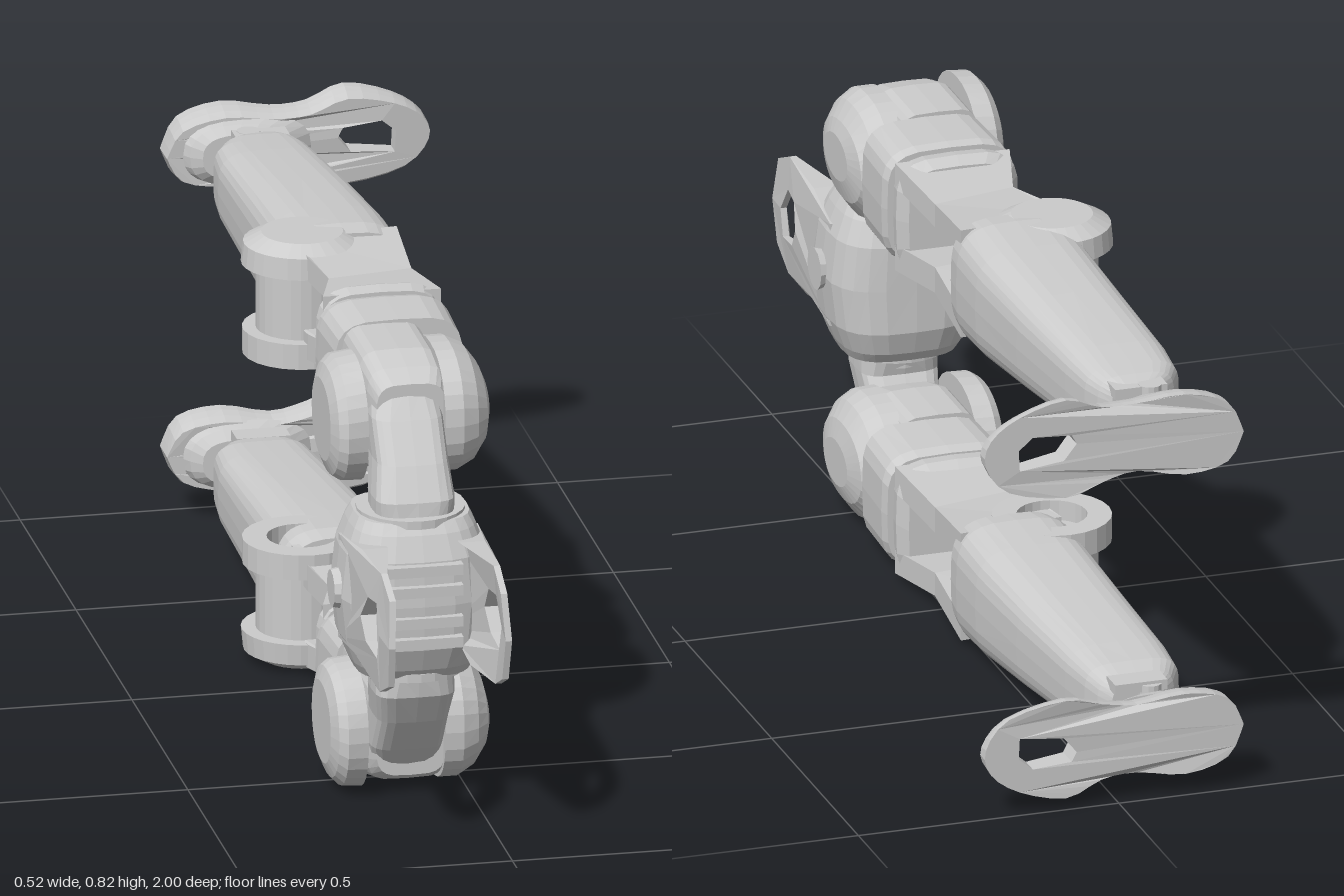
import * as THREE from 'three';

const mat = new THREE.MeshStandardMaterial({ color: 0xcccccc, flatShading: true, side: THREE.DoubleSide });

function add(group, name, geo) {
  const m = new THREE.Mesh(geo, mat);
  m.name = name;
  group.add(m);
  return m;
}

// Loft of superellipse sections [s, a0, a1, b0, b1, power].
// axis 'z': a = x, b = y.  axis 'y': a = z, b = x.  axis 'x': a = y, b = z.
function loft(sections, axis = 'z', n = 24) {
  const pos = [], idx = [];
  const put = (a, b, s) => pos.push(...(axis === 'z' ? [a, b, s] : axis === 'y' ? [b, s, a] : [s, a, b]));
  for (const [s, a0, a1, b0, b1, p = 2] of sections) {
    for (let i = 0; i < n; i++) {
      const t = (i / n) * Math.PI * 2, c = Math.cos(t), d = Math.sin(t);
      const f = (v) => Math.sign(v) * Math.abs(v) ** (2 / p);
      put((a0 + a1) / 2 + ((a1 - a0) / 2) * f(c), (b0 + b1) / 2 + ((b1 - b0) / 2) * f(d), s);
    }
  }
  const last = sections.length - 1;
  for (let j = 0; j < last; j++) {
    for (let i = 0; i < n; i++) {
      const a = j * n + i, b = j * n + ((i + 1) % n);
      idx.push(a, b, b + n, a, b + n, a + n);
    }
  }
  // end caps
  for (const k of [0, last]) {
    const [s, a0, a1, b0, b1] = sections[k], mid = pos.length / 3;
    put((a0 + a1) / 2, (b0 + b1) / 2, s);
    for (let i = 0; i < n; i++) {
      const a = k * n + i, b = k * n + ((i + 1) % n);
      if (k === 0) idx.push(mid, b, a); else idx.push(mid, a, b);
    }
  }
  const g = new THREE.BufferGeometry();
  g.setAttribute('position', new THREE.Float32BufferAttribute(pos, 3));
  g.setIndex(idx);
  g.computeVertexNormals();
  return g;
}

const shapeOf = (pts) => new THREE.Shape(pts.map(([x, y]) => new THREE.Vector2(x, y)));
const splineOf = (pts, n) => new THREE.SplineCurve([...pts, pts[0]].map(([x, y]) => new THREE.Vector2(x, y))).getPoints(n);

function bend(geo, rule) {
  const p = geo.attributes.position, v = new THREE.Vector3();
  for (let i = 0; i < p.count; i++) {
    rule(v.fromBufferAttribute(p, i));
    p.setXYZ(i, v.x, v.y, v.z);
  }
  geo.computeVertexNormals();
  return geo;
}

// Plate lying in the xz plane, from y0 to y1
function plateY(shape, y0, y1) {
  const g = new THREE.ExtrudeGeometry(shape, { depth: y1 - y0, bevelEnabled: false, curveSegments: 12 });
  return g.rotateX(Math.PI / 2).translate(0, y1, 0);
}

function buildLeg() {
  const leg = new THREE.Group();

  // Hip link, thigh core and its shells
  add(leg, 'hipLink', loft([
    [0.56, -0.19, -0.04, 0.57, 0.72, 3], [0.6, -0.19, -0.04, 0.58, 0.715, 4],
    [0.66, -0.18, -0.045, 0.54, 0.68, 4], [0.73, -0.18, -0.045, 0.48, 0.63, 4], [0.78, -0.17, -0.05, 0.45, 0.59, 3],
  ].map(([s, x0, x1, z0, z1, p]) => [s, z0, z1, x0, x1, p]), 'y', 20));
  add(leg, 'thighCore', loft([
    [0.36, -0.185, -0.03, 0.595, 0.825, 5], [0.5, -0.185, -0.03, 0.595, 0.825, 5],
    [0.56, -0.18, -0.03, 0.61, 0.81, 5], [0.6, -0.17, -0.04, 0.65, 0.79, 4],
  ]));
  add(leg, 'lowerThigh', loft([
    [0.2, -0.2, 0.045, 0.605, 0.82, 4], [0.22, -0.2, 0.05, 0.597, 0.825, 4], [0.345, -0.195, 0.045, 0.595, 0.825, 4],
  ]));
  add(leg, 'thighShell', loft([
    [-0.045, 0.59, 0.825, 0.34, 0.62, 2.4], [-0.01, 0.592, 0.825, 0.34, 0.62, 2.4],
    [0.02, 0.605, 0.81, 0.345, 0.605, 2.3], [0.042, 0.635, 0.78, 0.36, 0.58, 2.2], [0.052, 0.67, 0.755, 0.41, 0.545, 2],
  ], 'x', 28));
  add(leg, 'hipDisc', loft([
    [-0.255, 0.63, 0.78, 0.43, 0.6, 2.2], [-0.245, 0.605, 0.805, 0.4, 0.63, 2.2],
    [-0.23, 0.595, 0.82, 0.385, 0.645, 2.2], [-0.192, 0.592, 0.825, 0.385, 0.64, 2.2],
  ], 'x', 28));
  add(leg, 'thighCollar', loft([[0.172, -0.185, 0.035, 0.61, 0.81, 3], [0.21, -0.17, 0.02, 0.63, 0.79, 3]]));

  // Knee fork: solid base and two cheeks with an open window between
  add(leg, 'kneeBase', loft([
    [0.12, -0.165, 0.03, 0.615, 0.815, 4], [0.15, -0.19, 0.045, 0.597, 0.825, 4], [0.18, -0.185, 0.04, 0.6, 0.82, 4],
  ]));
  const cheek = [[-0.18, 0.17], [-0.14, 0.03], [-0.16, -0.06], [-0.17, -0.16], [0.03, -0.18], [0.02, 0], [0.04, 0.17]];
  for (const [name, y0, y1, lean] of [['outerKneeCheek', 0.77, 0.815, -0.2], ['innerKneeCheek', 0.605, 0.655, 0.2]]) {
    const g = plateY(shapeOf(cheek.map(([x, z]) => [x, z])), y0, y1);
    add(leg, name, bend(g, (v) => { v.y += lean * Math.max(0, 0.1 - Math.abs(v.z - 0.01)); }));
  }

  // Knee barrel: closed cap outside, ring with a recess inside
  const disc = (name, r0, r1, y, h) =>
    add(leg, name, new THREE.CylinderGeometry(r1, r0, h, 28).translate(-0.148, y, -0.17));
  disc('kneeBarrel', 0.085, 0.085, 0.715, 0.17);
  disc('outerKneeCap', 0.112, 0.108, 0.785, 0.04);
  disc('outerKneeDome', 0.108, 0.075, 0.814, 0.018);
  const ring = new THREE.Shape().absarc(-0.148, -0.17, 0.11, 0, Math.PI * 2);
  ring.holes.push(new THREE.Path().absarc(-0.148, -0.17, 0.065, 0, Math.PI * 2, true));
  add(leg, 'innerKneeRing', plateY(ring, 0.592, 0.64));

  // Shin and ankle
  add(leg, 'shin', loft([
    [-0.87, -0.125, -0.03, 0.65, 0.765, 4], [-0.84, -0.16, -0.012, 0.64, 0.772, 4],
    [-0.8, -0.182, 0, 0.632, 0.776, 4], [-0.72, -0.19, 0.01, 0.625, 0.785, 3.6],
    [-0.5, -0.19, 0.03, 0.608, 0.803, 3.4], [-0.3, -0.19, 0.043, 0.593, 0.818, 3.4],
    [-0.19, -0.19, 0.043, 0.587, 0.825, 3.4], [-0.145, -0.18, 0.038, 0.592, 0.82, 3.4],
  ], 'z', 32));
  for (const y of [0.65, 0.755]) {
    add(leg, 'ankleFork', new THREE.BoxGeometry(0.1, 0.02, 0.05).translate(-0.08, y, -0.865));
  }
  add(leg, 'ankle', new THREE.BoxGeometry(0.08, 0.06, 0.1).translate(-0.1, 0.706, -0.88));
  add(leg, 'anklePin', new THREE.CylinderGeometry(0.022, 0.022, 0.12, 14).translate(-0.1, 0.706, -0.88));

  // Shoe-shaped foot with an opening near the toe, thinning forward
  const sole = splineOf([[-0.24, 0.7], [-0.21, 0.76], [-0.13, 0.785], [-0.04, 0.775], [0.03, 0.778], [0.1, 0.803],
    [0.19, 0.78], [0.245, 0.74], [0.255, 0.69], [0.21, 0.635], [0.1, 0.612], [0.03, 0.63], [-0.04, 0.642],
    [-0.13, 0.628], [-0.21, 0.645]], 45);
  const foot = new THREE.Shape(sole);
  foot.holes.push(new THREE.Path([[0.08, 0.715], [0.105, 0.685], [0.19, 0.675], [0.192, 0.715], [0.165, 0.738], [0.09, 0.733]]
    .map(([x, y]) => new THREE.Vector2(x, y))));
  const footGeo = new THREE.ExtrudeGeometry(foot, { depth: 1, steps: 3, bevelEnabled: false });
  add(leg, 'foot', bend(footGeo, (v) => {
    const k = v.z, bottom = -1 + 0.014 * Math.exp(-(((v.x + 0.03) / 0.08) ** 2));
    const top = v.x < 0 ? -0.935 : -0.935 - 0.15 * v.x;
    const hole = v.x > 0.07 && v.x < 0.2 && Math.abs(v.y - 0.706) < 0.04;
    if (!hole) v.y = 0.706 + (v.y - 0.706) * (1 - 0.16 * k * k);
    v.z = bottom + (top - bottom) * k;
  }));
  add(leg, 'instep', loft([
    [-0.945, -0.215, 0.03, 0.642, 0.77, 2.6], [-0.92, -0.2, -0.01, 0.648, 0.764, 2.6], [-0.903, -0.18, -0.04, 0.665, 0.75, 2.6],
  ]));
  return leg;
}

function buildPelvis() {
  const pelvis = new THREE.Group();
  const cx = -0.115, cy = 0.418;

  // Barrel-shaped body
  const rows = [[-0.15, 0.105, 0.54, 0.73], [-0.13, 0.115, 0.525, 0.745], [-0.085, 0.132, 0.51, 0.765],
    [0, 0.142, 0.51, 0.77], [0.085, 0.132, 0.51, 0.765], [0.13, 0.115, 0.525, 0.745], [0.15, 0.105, 0.54, 0.73]];
  add(pelvis, 'pelvisBody', loft(rows.map(([y, w, z0, z1]) => [cy + y, z0, z1, cx - w, cx + w, 3]), 'y', 24));

  // Hip collars above and below
  for (const s of [-1, 1]) {
    add(pelvis, 'hipCollar', new THREE.CylinderGeometry(0.1, 0.1, 0.016, 24).translate(cx, cy + s * 0.148, 0.64));
    add(pelvis, 'hipSpindle', new THREE.CylinderGeometry(0.065, 0.065, 0.03, 20).translate(cx, cy + s * 0.165, 0.64));
  }

  // Two side wings reaching forward, each with an opening
  const wing = shapeOf([[0.62, 0.52], [0.76, 0.535], [0.91, 0.54], [0.98, 0.51], [1, 0.425], [0.98, 0.345],
    [0.91, 0.312], [0.8, 0.312], [0.74, 0.33], [0.62, 0.32]]);
  wing.holes.push(new THREE.Path([[0.82, 0.43], [0.85, 0.39], [0.92, 0.38], [0.935, 0.43], [0.9, 0.48], [0.85, 0.475]]
    .map(([x, y]) => new THREE.Vector2(x, y))));
  for (const s of [-1, 1]) {
    const g = new THREE.ExtrudeGeometry(wing, { depth: 1, bevelEnabled: false });
    add(pelvis, s > 0 ? 'leftWing' : 'rightWing', bend(g.rotateY(-Math.PI / 2).translate(1, 0, 0), (v) => {
      const outer = 0.146 - 0.09 * Math.max(0, v.z - 0.65) - 1.6 * (v.y - cy) ** 2 * (v.z < 0.9 ? 1 : 0.5);
      const thick = Math.max(0.012, 0.06 - 0.3 * Math.max(0, v.z - 0.72));
      const k = s > 0 ? v.x : 1 - v.x;
      v.x = cx + s * (outer - thick * (1 - k));
    }));
    add(pelvis, 'sideBolt', new THREE.CylinderGeometry(0.035, 0.04, 0.02, 12)
      .rotateZ(Math.PI / 2).translate(cx + s * 0.14, 0.425, 0.65));
  }

  // Ribbed front panel between the wings
  for (const y of [0.35, 0.39, 0.45, 0.49]) {
    add(pelvis, 'frontRib', new THREE.BoxGeometry(0.14, 0.02, 0.03).translate(cx, y, 0.765));
  }
  return pelvis;
}

export function createModel() {
  const model = new THREE.Group();
  model.name = 'legs';
  const pelvis = buildPelvis();
  pelvis.name = 'pelvis';
  const upper = buildLeg();
  upper.name = 'upperLeg';
  // The other leg is mirrored about the middle of the pelvis
  const lower = buildLeg();
  lower.name = 'lowerLeg';
  lower.scale.y = -1;
  lower.position.y = 0.825;
  model.add(pelvis, upper, lower);
  return model;
}
